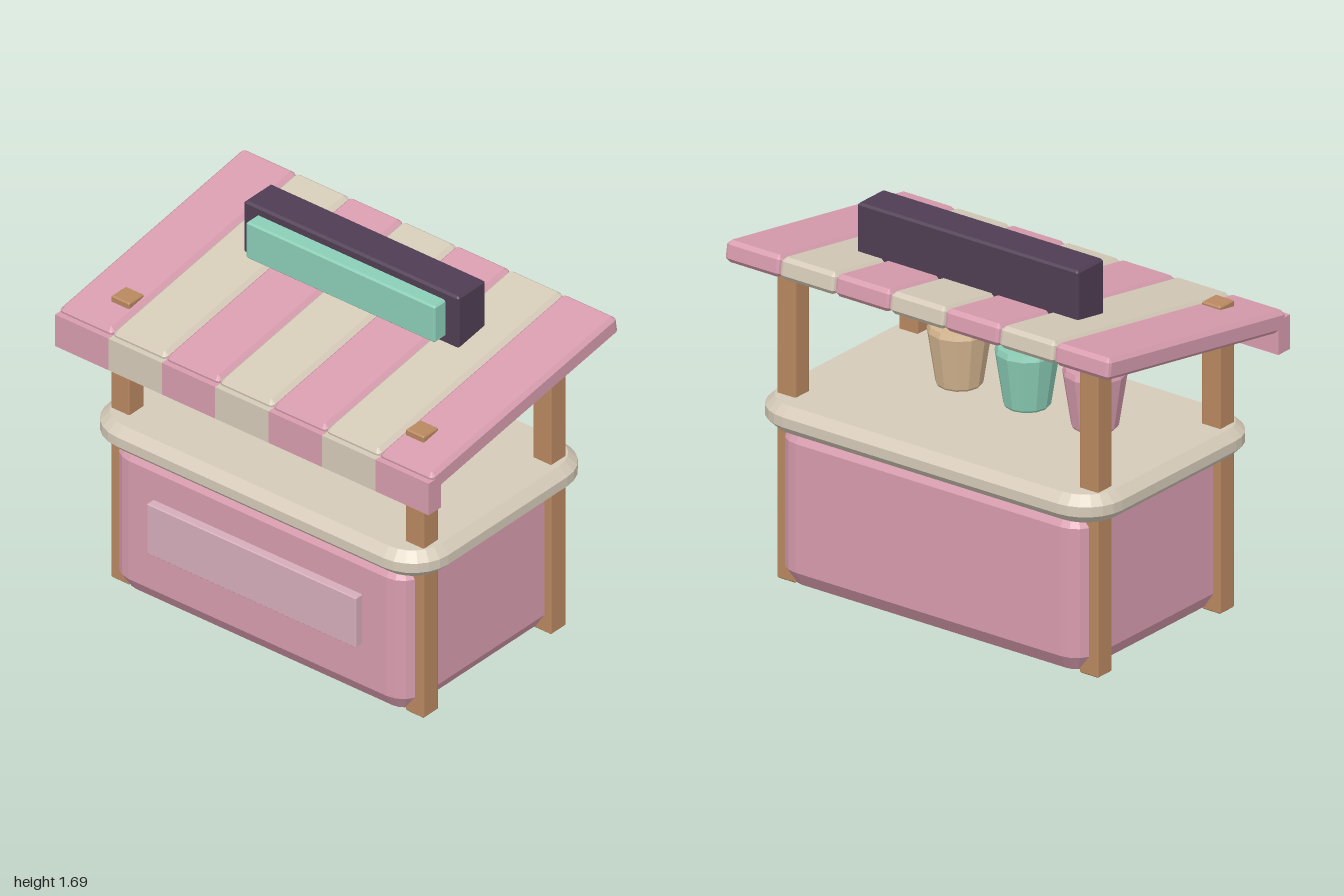
import * as THREE from 'three';

const mat = (name, color) => {
  const m = new THREE.MeshStandardMaterial({ color });
  m.name = name;
  return m;
};

// Upright block with rounded plan corners and chamfered top and bottom edges, centred on the origin
function slab(w, h, d, radius, bevel, bevelHeight = bevel, segments = 1) {
  const x = w / 2, y = d / 2, r = radius;
  const s = new THREE.Shape();
  s.moveTo(-x + r, -y);
  s.lineTo(x - r, -y);
  s.absarc(x - r, -y + r, r, -Math.PI / 2, 0, false);
  s.lineTo(x, y - r);
  s.absarc(x - r, y - r, r, 0, Math.PI / 2, false);
  s.lineTo(-x + r, y);
  s.absarc(-x + r, y - r, r, Math.PI / 2, Math.PI, false);
  s.lineTo(-x, -y + r);
  s.absarc(-x + r, -y + r, r, Math.PI, Math.PI * 1.5, false);
  const g = new THREE.ExtrudeGeometry(s, {
    depth: h - 2 * bevelHeight, curveSegments: segments, bevelEnabled: true, bevelSegments: 1,
    bevelSize: bevel, bevelOffset: -bevel, bevelThickness: bevelHeight,
  });
  g.rotateX(-Math.PI / 2);
  g.translate(0, bevelHeight - h / 2, 0);
  return g;
}

// Gives every face its own flat normal
function faceted(g) {
  const f = g.toNonIndexed();
  f.computeVertexNormals();
  return f;
}

export function createModel() {
  const group = new THREE.Group();
  group.name = 'marketStall';

  const pink = mat('pink', 0xd79cae);
  const cream = mat('cream', 0xd5cab8);
  const wood = mat('wood', 0xb98860);
  const mint = mat('mint', 0x8bcdb6);
  const tan = mat('tan', 0xd5b690);
  const plum = mat('plum', 0x4f3d53);
  const mauve = mat('mauve', 0xd5adba);

  const add = (name, geometry, material, x, y, z, parent = group) => {
    const m = new THREE.Mesh(geometry, material);
    m.name = name;
    m.position.set(x, y, z);
    parent.add(m);
    return m;
  };

  // Body, front panel and counter
  add('body', slab(1.6, 0.72, 1.045, 0.11, 0.045, 0.07, 2), pink, 0, 0.38, -0.008);
  add('frontPanel', slab(1.12, 0.245, 0.08, 0.004, 0.004), mauve, 0, 0.412, 0.515);
  add('counter', slab(1.81, 0.125, 1.145, 0.19, 0.04, 0.04, 3), cream, 0, 0.778, -0.01);

  // Corner posts, whose front pair pokes through the roof
  const postGeometry = slab(0.097, 1.385, 0.095, 0.006, 0.006);
  for (const sx of [-1, 1]) {
    for (const [end, z] of [['front', 0.403], ['back', -0.418]]) {
      add(`${end}${sx > 0 ? 'Left' : 'Right'}Post`, postGeometry, wood, sx * 0.788, 0.6975, z);
    }
  }

  // Sloping striped roof with a hanging valance
  const stripes = 7, width = 2 / stripes;
  const plankGeometry = slab(width, 0.096, 1.205, 0.018, 0.018);
  const valanceGeometry = new THREE.BoxGeometry(width, 0.155, 0.08);
  for (let i = 0; i < stripes; i++) {
    const x = -1 + width * (i + 0.5);
    const colour = i % 2 ? cream : pink;
    add('roofPlank', plankGeometry, colour, x, 1.387, -0.01).rotation.x = 0.161;
    add('valance', valanceGeometry, colour, x, 1.233, 0.575);
  }

  // Sign board
  add('signBoard', slab(1.15, 0.26, 0.175, 0.01, 0.01), plum, 0, 1.565, -0.176);
  add('signFace', slab(1.01, 0.18, 0.09, 0.008, 0.008), mint, 0, 1.565, -0.064);

  // Cups with straws
  const profile = [[0, 0], [0.092, 0], [0.1, 0.012], [0.136, 0.245], [0.127, 0.27], [0, 0.27]];
  const cupGeometry = faceted(new THREE.LatheGeometry(profile.map(p => new THREE.Vector2(...p)), 12));
  const low = new THREE.Vector3(-0.015, 0.21, -0.02);
  const high = new THREE.Vector3(0.065, 0.362, -0.03);
  const axis = high.clone().sub(low);
  const strawGeometry = faceted(new THREE.CylinderGeometry(0.018, 0.018, axis.length(), 8));
  [pink, mint, tan].forEach((colour, i) => {
    const cup = new THREE.Group();
    cup.name = 'cupWithStraw';
    cup.position.set(-0.405 + i * 0.353, 0.838, 0.07);
    add('cup', cupGeometry, colour, 0, 0, 0, cup);
    const mid = low.clone().lerp(high, 0.5);
    const straw = add('straw', strawGeometry, cream, mid.x, mid.y, mid.z, cup);
    straw.quaternion.setFromUnitVectors(new THREE.Vector3(0, 1, 0), axis.clone().normalize());
    group.add(cup);
  });

  return group;
}
